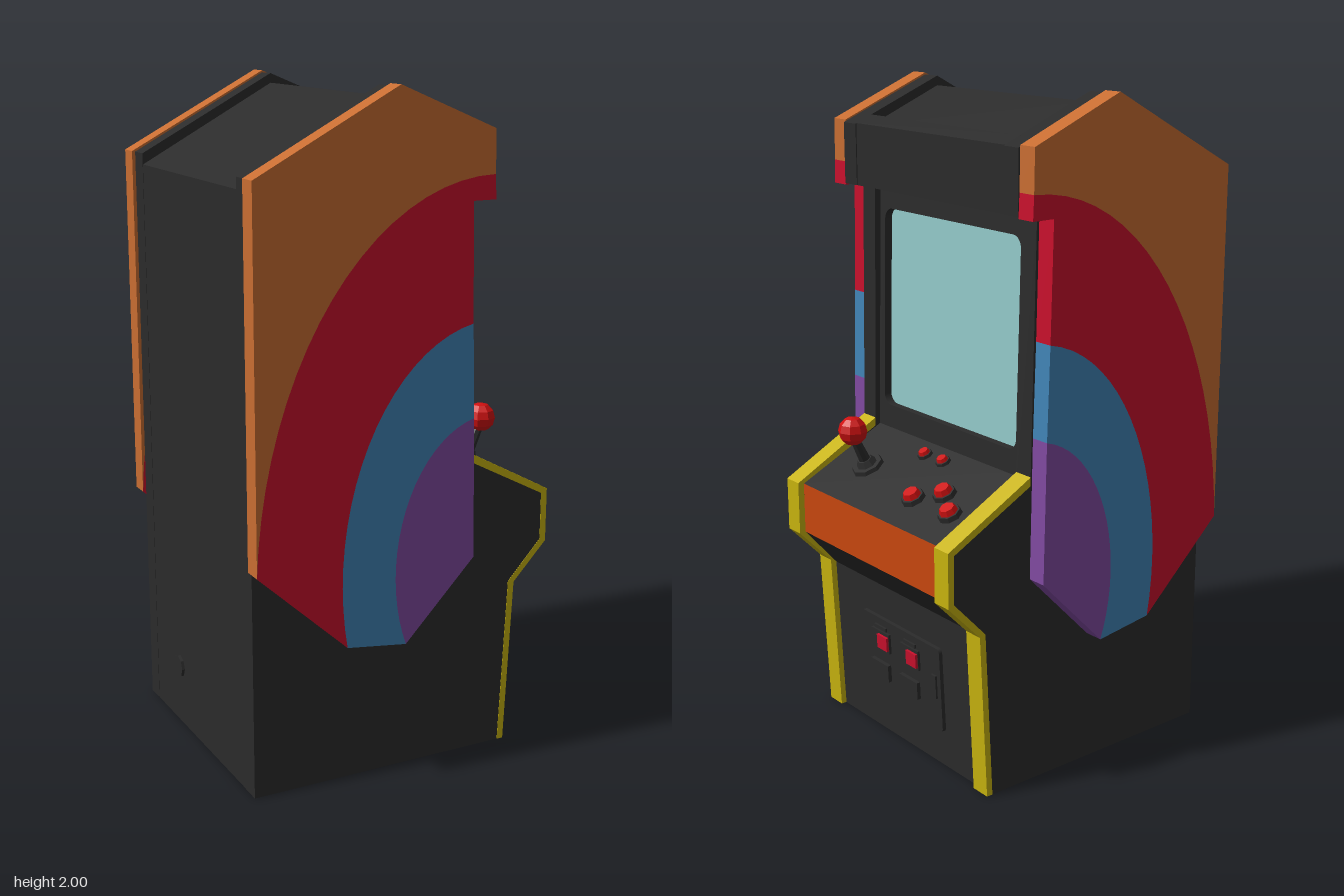
import * as THREE from 'three';

const mat = (name, color, side = THREE.FrontSide) => {
  const m = new THREE.MeshStandardMaterial({ color, side });
  m.name = name;
  return m;
};

export function createModel() {
  const root = new THREE.Group();
  root.name = 'arcadeCabinet';
  const black = mat('black', 0x2b2b2b, THREE.DoubleSide);
  const orange = mat('panel orange', 0xc86d32);
  const red = mat('panel red', 0xc8102c);
  const blue = mat('panel blue', 0x4184b6);
  const purple = mat('panel purple', 0x804aa0);
  const yellow = mat('trim yellow', 0xc8b30f);
  const fascia = mat('fascia orange', 0xc8460f, THREE.DoubleSide);
  const glass = mat('screen glass', 0x92c9c9);
  const knobRed = mat('button red', 0xcf1010);

  const add = (parent, name, geo, material, x = 0, y = 0, z = 0) => {
    const m = new THREE.Mesh(geo, material);
    m.name = name;
    m.position.set(x, y, z);
    parent.add(m);
    return m;
  };
  const toShape = (pts) => new THREE.Shape(pts.map(([x, y]) => new THREE.Vector2(x, y)));
  const extrude = (shape, depth) => new THREE.ExtrudeGeometry(shape, { depth, bevelEnabled: false });

  // Profile slab on both sides of the cabinet, from |z| = z0 to z0 + depth
  const sidePair = (name, pts, material, z0, depth) => {
    const geo = extrude(toShape(pts), depth);
    add(root, name + 'Left', geo, material, 0, 0, z0);
    add(root, name + 'Right', geo, material, 0, 0, -z0 - depth);
  };

  // Outer side art: bands split by three ellipses
  const arc = (a, b, t0, t1, n = 20) => Array.from({ length: n + 1 }, (_, i) => {
    const t = t0 + (t1 - t0) * i / n;
    return [0.242 - a * Math.cos(t), 0.62 + b * Math.sin(t)];
  });
  const outer = arc(0.739, 1.13, 0.062, Math.PI / 2);
  const middle = arc(0.475, 0.722, -0.26, 1.44);
  const inner = arc(0.305, 0.447, -0.49, 1.396);
  const back = (pts) => [...pts].reverse();
  sidePair('orangeBand', [[-0.495, 1.77], [-0.06, 2], [0.24, 1.875], ...back(outer)], orange, 0.41, 0.06);
  sidePair('redBand', [...outer, [0.245, 1.68], [0.172, 1.68], ...back(middle)], red, 0.41, 0.06);
  sidePair('blueBand', [...middle, ...back(inner)], blue, 0.41, 0.06);
  sidePair('purpleBand', [...inner, [0.197, 0.64]], purple, 0.41, 0.06);

  // Black side walls and their yellow front trim
  const trimIn = [[0.335, 0], [0.36, 0.515], [0.47, 0.633], [0.47, 0.778], [0.197, 0.921]];
  const trimOut = [[0.355, 0], [0.38, 0.51], [0.49, 0.625], [0.49, 0.79], [0.197, 0.947]];
  sidePair('sideWall', [[-0.485, 0], ...trimIn, [0.18, 1.685], [0.246, 1.685], [0.246, 1.868],
    [-0.06, 1.994], [-0.485, 1.768]], black, 0.348, 0.062);
  sidePair('frontTrim', [...trimOut, ...back(trimIn)], yellow, 0.348, 0.063);

  // Sheet across the cabinet following a profile, open at the bottom
  const sheet = (name, pts, material, w = 0.35) => {
    const v = [];
    for (let i = 0; i < pts.length - 1; i++) {
      const [x0, y0] = pts[i], [x1, y1] = pts[i + 1];
      v.push(x0, y0, -w, x0, y0, w, x1, y1, w, x0, y0, -w, x1, y1, w, x1, y1, -w);
    }
    const geo = new THREE.BufferGeometry();
    geo.setAttribute('position', new THREE.Float32BufferAttribute(v, 3));
    geo.computeVertexNormals();
    return add(root, name, geo, material);
  };
  sheet('backPanel', [[-0.484, 0], [-0.484, 1.735]], black);
  sheet('roof', [[-0.484, 1.735], [-0.06, 1.965], [0.19, 1.86], [0.19, 1.892], [0.243, 1.87]], black);
  sheet('marquee', [[0.243, 1.87], [0.243, 1.685], [0.13, 1.685]], black);
  sheet('screenBacking', [[0.13, 1.685], [0.15, 0.94]], black);
  sheet('controlPanel', [[0.15, 0.94], [0.47, 0.785]], black);
  sheet('fascia', [[0.47, 0.785], [0.47, 0.627]], fascia);
  sheet('lowerFront', [[0.47, 0.627], [0.36, 0.5], [0.337, 0]], black);

  // Group lying on a forward-facing plane: local x = -z, local y = up the plane, local z = outward
  const plane = (name, x, y, z, tilt) => {
    const g = new THREE.Group();
    g.name = name;
    g.position.set(x, y, z);
    g.rotation.set(0, Math.PI / 2, tilt, 'ZYX');
    root.add(g);
    return g;
  };
  const roundRect = (w, h, r, S = THREE.Shape) => {
    const s = new S(), a = w / 2, b = h / 2;
    s.absarc(a - r, b - r, r, 0, Math.PI / 2);
    s.absarc(r - a, b - r, r, Math.PI / 2, Math.PI);
    s.absarc(r - a, r - b, r, Math.PI, Math.PI * 1.5);
    s.absarc(a - r, r - b, r, Math.PI * 1.5, Math.PI * 2);
    s.closePath();
    return s;
  };

  // Screen recessed behind its bezel
  const screen = plane('screenUnit', 0.14, 1.305, 0, 0.0268);
  const bezel = toShape([[-0.35, -0.38], [0.35, -0.38], [0.35, 0.38], [-0.35, 0.38]]);
  bezel.holes.push(roundRect(0.645, 0.615, 0.035, THREE.Path));
  add(screen, 'bezel', extrude(bezel, 0.03), black);
  add(screen, 'screen', new THREE.ShapeGeometry(roundRect(0.66, 0.63, 0.035)), glass, 0, 0, 0.005);

  // Buttons on the sloping control panel
  const tilt = Math.atan2(0.32, 0.155);
  const deckY = (x) => 0.785 + (0.47 - x) * 0.484;
  const disc = (r0, r1, h) => new THREE.CylinderGeometry(r0, r1, h, 8).rotateX(Math.PI / 2).toNonIndexed();
  const flat = (geo) => { geo.computeVertexNormals(); return geo; };
  [[0.37, -0.265, 1], [0.32, -0.175, 1], [0.37, -0.09, 1], [0.225, 0.047, 0.65], [0.225, -0.043, 0.65]]
    .forEach(([x, z, s]) => {
      const g = plane('button', x, deckY(x), z, tilt);
      g.scale.setScalar(s);
      add(g, 'buttonCollar', flat(disc(0.034, 0.038, 0.014)), black, 0, 0, 0.007);
      add(g, 'buttonCap', flat(disc(0.022, 0.03, 0.02)), knobRed, 0, 0, 0.02);
    });

  // Joystick
  const stick = plane('joystick', 0.332, deckY(0.332), 0.197, tilt);
  add(stick, 'joystickBase', flat(disc(0.048, 0.052, 0.012)), black, 0, 0, 0.006);
  add(stick, 'joystickBoot', flat(disc(0.022, 0.034, 0.02)), black, 0, 0, 0.02);
  add(stick, 'joystickShaft', flat(disc(0.014, 0.02, 0.12)), black, 0, 0, 0.06);
  const ball = new THREE.SphereGeometry(0.045, 8, 6).toNonIndexed();
  add(root, 'joystickBall', flat(ball), knobRed, 0.385, 0.975, 0.197);

  // Coin door with two slots and two return flaps
  const door = plane('coinDoor', 0.349, 0.255, 0, -0.046);
  add(door, 'doorPlate', extrude(roundRect(0.4, 0.275, 0.015), 0.012), black);
  const box = (name, w, h, d, x, y, m) =>
    add(door, name, new THREE.BoxGeometry(w, h, d), m, x, y, 0.012 + d / 2);
  [-0.075, 0.075].forEach((x) => {
    box('coinFrame', 0.09, 0.064, 0.008, x - 0.018, 0.067, black);
    box('coinButton', 0.05, 0.045, 0.016, x, 0.067, red);
    box('coinLabel', 0.06, 0.012, 0.006, x - 0.02, 0.108, black);
    box('returnFlap', 0.09, 0.055, 0.012, x - 0.025, -0.035, black);
  });
  box('doorLock', 0.022, 0.075, 0.006, 0.172, 0.01, black);

  // Cable outlet low on the back
  const outlet = new THREE.CylinderGeometry(0.035, 0.035, 0.05, 8).rotateZ(Math.PI / 2).toNonIndexed();
  add(root, 'cableOutlet', flat(outlet), black, -0.468, 0.19, -0.15);

  return root;
}
